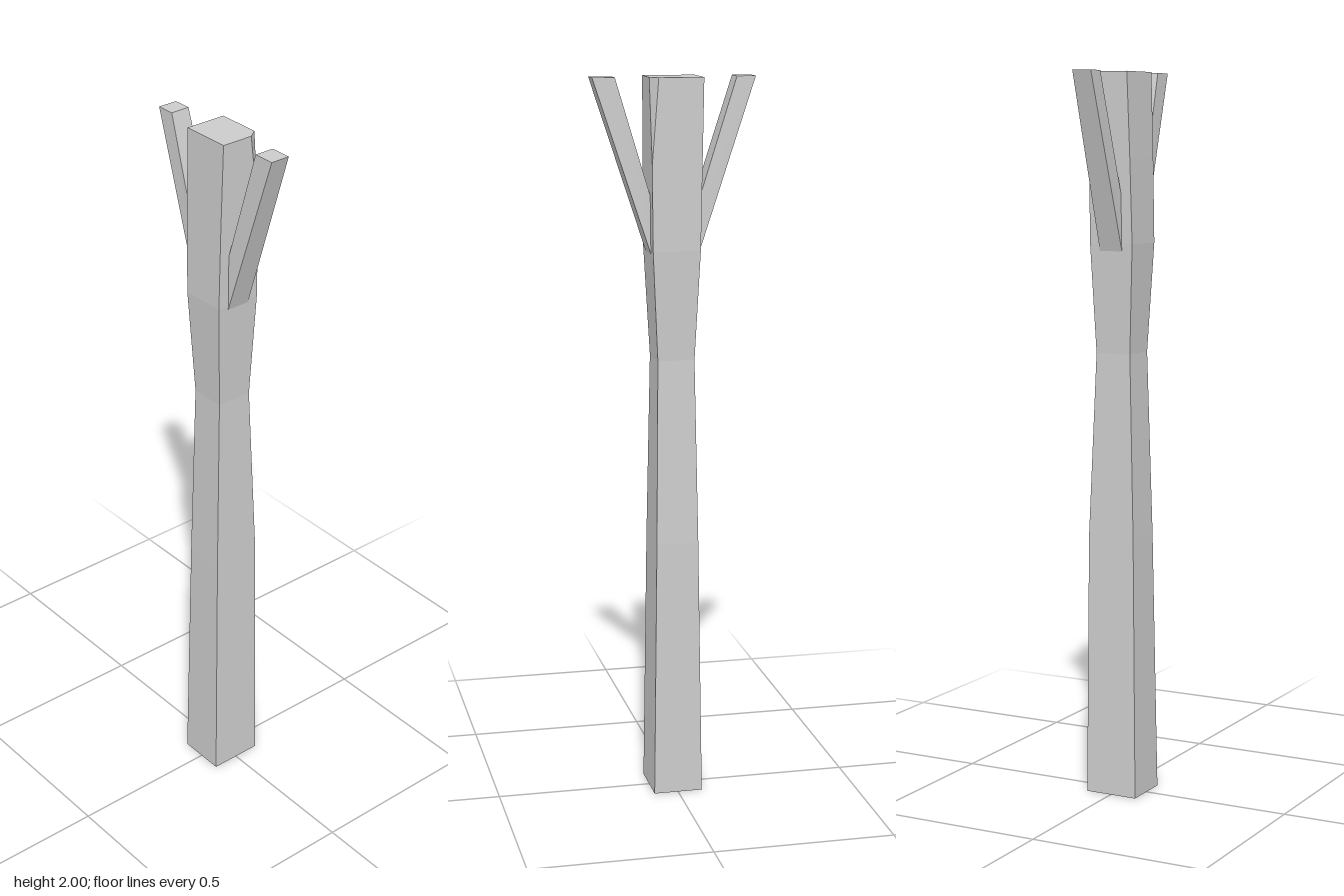
import * as THREE from 'three';

const material = new THREE.MeshStandardMaterial({ color: 0xcccccc, flatShading: true });

// Skin closed rings of points (front-left first, counter-clockwise from above), capped at both ends
function loft(name, rings) {
  const pos = [];
  const tri = (a, b, c) => {
    const area = new THREE.Triangle(a, b, c).getArea();
    if (area > 1e-8) [a, b, c].forEach(p => pos.push(p.x, p.y, p.z));
  };
  const n = rings[0].length;
  for (let r = 0; r < rings.length - 1; r++) {
    const lo = rings[r], up = rings[r + 1];
    for (let i = 0; i < n; i++) {
      const j = (i + 1) % n;
      tri(lo[i], lo[j], up[j]);
      tri(lo[i], up[j], up[i]);
    }
  }
  const bottom = rings[0], top = rings[rings.length - 1];
  for (let i = 1; i < n - 1; i++) {
    tri(top[0], top[i], top[i + 1]);
    tri(bottom[0], bottom[i + 1], bottom[i]);
  }
  const geometry = new THREE.BufferGeometry();
  geometry.setAttribute('position', new THREE.Float32BufferAttribute(pos, 3));
  geometry.computeVertexNormals();
  const mesh = new THREE.Mesh(geometry, material);
  mesh.name = name;
  return mesh;
}

const v = (x, y, z) => new THREE.Vector3(x, y, z);

// Four-sided trunk section; cx, cz cut off its front left corner
const trunkRing = ([y, x0, x1, z0, z1, cx = 0, cz = 0]) => [
  v(x0, y, z1), v(x1 - cx, y, z1), v(x1, y, z1 - cz), v(x1, y, z0), v(x0, y, z0),
];

// Branch section: front edge at (yf, zf), back edge at (yb, zb)
const branchRing = (x0, x1, yf, zf, yb, zb) => [
  v(x0, yf, zf), v(x1, yf, zf), v(x1, yb, zb), v(x0, yb, zb),
];

export function createModel() {
  const model = new THREE.Group();
  model.name = 'forkedPost';

  // Trunk: y, x min, x max, z min, z max, corner cut
  model.add(loft('trunk', [
    [0, -0.077, 0.075, -0.069, 0.068],
    [0.73, -0.064, 0.074, -0.057, 0.06],
    [1.24, -0.05, 0.053, -0.05, 0.052],
    [1.54, -0.064, 0.065, -0.064, 0.067],
    [1.77, -0.059, 0.065, -0.068, 0.069],
    [2, -0.052, 0.065, -0.072, 0.071, 0.027, 0.02],
  ].map(trunkRing)));

  // Branches leaning out to front and back, rooted inside the trunk
  model.add(loft('frontBranch', [
    branchRing(-0.034, 0.036, 1.42, 0.03, 1.56, 0.03),
    branchRing(-0.025, 0.03, 2, 0.223, 2, 0.162),
  ]));
  model.add(loft('backBranch', [
    branchRing(-0.034, 0.036, 1.56, -0.03, 1.42, -0.03),
    branchRing(-0.025, 0.03, 2, -0.17, 2, -0.222),
  ]));

  return model;
}
